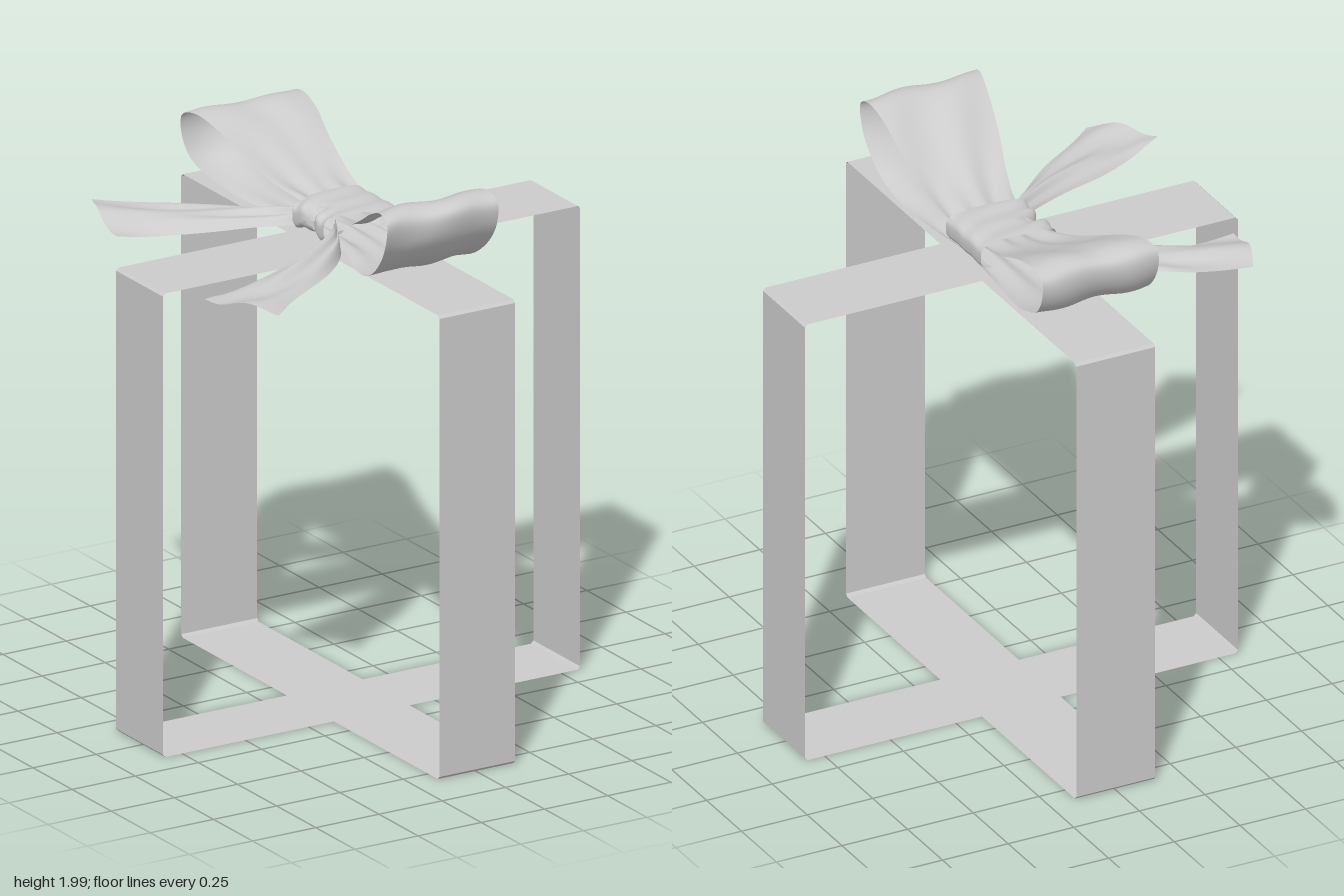
import * as THREE from 'three';

const smooth = new THREE.MeshStandardMaterial({ color: 0xcccccc, side: THREE.DoubleSide });
const flat = new THREE.MeshStandardMaterial({ color: 0xcccccc, side: THREE.DoubleSide, flatShading: true });

// Grid surface from a function (u, v) -> [x, y, z]
function sheet(name, nu, nv, fn, material = smooth) {
  const pos = [], idx = [];
  for (let i = 0; i <= nu; i++)
    for (let j = 0; j <= nv; j++) pos.push(...fn(i / nu, j / nv));
  for (let i = 0; i < nu; i++)
    for (let j = 0; j < nv; j++) {
      const a = i * (nv + 1) + j, b = a + nv + 1;
      idx.push(a, a + 1, b, b, a + 1, b + 1);
    }
  const g = new THREE.BufferGeometry();
  g.setAttribute('position', new THREE.Float32BufferAttribute(pos, 3));
  g.setIndex(idx);
  g.computeVertexNormals();
  const m = new THREE.Mesh(g, material);
  m.name = name;
  return m;
}

const spline = pts => new THREE.CatmullRomCurve3(pts.map(p => new THREE.Vector3(...p)), false, 'centripetal');

// Flat band wrapped round the box, with tiny chamfered corners
function strap(name, alongX) {
  const h = 1.66, r = 0.825, c = 0.01;
  const ring = [[-r, c], [-r, h - c], [-r + c, h], [r - c, h], [r, h - c], [r, c], [r - c, 0], [-r + c, 0], [-r, c]];
  return sheet(name, 8, 1, (u, v) => {
    const [s, y] = ring[Math.round(u * 8)];
    const w = -0.15 + 0.3 * v;
    return alongX ? [s, y, w - 0.005] : [w, y, s - 0.005];
  }, flat);
}

// Bow loop: both edges run along the same side profile, rows are [z, y, xLeft, xRight]
function bowLoop(name, rows) {
  const a = spline(rows.map(([z, y, l]) => [l, y, z]));
  const b = spline(rows.map(([z, y, , r]) => [r, y, z]));
  return sheet(name, 64, 24, (u, v) => {
    const p = a.getPoint(u).lerp(b.getPoint(u), v);
    // gathers near the knot, soft waves further out
    const pinch = Math.pow(Math.abs(2 * u - 1), 4);
    p.y += 0.012 * pinch * Math.sin(v * 19) + 0.004 * Math.sin(v * 11 + u * 14) - 0.004;
    p.z += 0.008 * (1 - pinch) * Math.sin(v * 9 + u * 5);
    return p.toArray();
  });
}

// Loose tail between two edge paths, arched near the knot and rippled at the cut end
function tail(name, edgeA, edgeB, phase) {
  const a = spline(edgeA), b = spline(edgeB);
  return sheet(name, 48, 20, (u, v) => {
    const p = a.getPoint(u).lerp(b.getPoint(u), v);
    p.y += 0.05 * Math.sin(Math.PI * v) * (1 - 0.75 * u)
      + 0.010 * u * Math.sin(v * 8 + u * 9 + phase)
      + 0.010 * (1 - u) * Math.sin(v * 17);
    p.x -= 0.02 * Math.pow(u, 8) * Math.sin(v * Math.PI);
    return p.toArray();
  });
}

export function createModel() {
  const model = new THREE.Group();
  model.add(strap('sideStrap', true), strap('frontStrap', false));

  const bow = new THREE.Group();
  bow.name = 'bow';
  bow.add(bowLoop('frontLoop', [
    [0, 1.765, -0.11, 0.13], [0.12, 1.78, -0.12, 0.14], [0.25, 1.815, -0.16, 0.15], [0.4, 1.89, -0.21, 0.165],
    [0.53, 1.965, -0.24, 0.17], [0.62, 1.99, -0.26, 0.175], [0.675, 1.965, -0.27, 0.175], [0.67, 1.89, -0.27, 0.175],
    [0.62, 1.81, -0.26, 0.175], [0.52, 1.735, -0.24, 0.17], [0.38, 1.70, -0.2, 0.16], [0.2, 1.70, -0.14, 0.15],
    [0, 1.70, -0.11, 0.13]]));
  bow.add(bowLoop('backLoop', [
    [0, 1.765, -0.11, 0.13], [-0.15, 1.78, -0.12, 0.13], [-0.25, 1.805, -0.145, 0.145], [-0.4, 1.87, -0.175, 0.17],
    [-0.53, 1.93, -0.2, 0.2], [-0.63, 1.955, -0.22, 0.21], [-0.69, 1.935, -0.235, 0.21], [-0.695, 1.87, -0.235, 0.21],
    [-0.65, 1.79, -0.225, 0.205], [-0.53, 1.74, -0.2, 0.195], [-0.38, 1.71, -0.17, 0.165], [-0.2, 1.70, -0.13, 0.14],
    [0, 1.70, -0.11, 0.13]]));

  bow.add(tail('frontTail',
    [[-0.08, 1.71, 0.03], [-0.14, 1.71, 0.09], [-0.37, 1.70, 0.21], [-0.55, 1.69, 0.28], [-0.7, 1.69, 0.34], [-0.81, 1.71, 0.39]],
    [[-0.08, 1.69, 0.06], [-0.15, 1.69, 0.19], [-0.24, 1.69, 0.29], [-0.37, 1.69, 0.4], [-0.55, 1.69, 0.52], [-0.65, 1.70, 0.6]], 0));
  bow.add(tail('backTail',
    [[-0.08, 1.69, -0.06], [-0.13, 1.69, -0.19], [-0.17, 1.69, -0.3], [-0.33, 1.70, -0.43], [-0.46, 1.71, -0.52], [-0.64, 1.74, -0.61]],
    [[-0.08, 1.71, -0.03], [-0.14, 1.71, -0.09], [-0.22, 1.70, -0.14], [-0.37, 1.69, -0.21], [-0.55, 1.69, -0.29], [-0.72, 1.70, -0.32]], 2));

  // Knot band wrapped round the middle, creased toward its right side
  bow.add(sheet('knot', 64, 20, (u, v) => {
    const t = u * Math.PI * 2, c = Math.cos(t), s = Math.sin(t);
    const sq = k => Math.sign(k) * Math.pow(Math.abs(k), 0.55);
    const crease = Math.max(0, -c);
    const x = -0.005 + 0.15 * sq(c);
    const w = v - 0.5;
    const y = 1.735 + 0.052 * sq(s)
      + 0.006 * Math.sin(v * 16 + c * 3) * (0.4 + crease)
      - 0.025 * crease * Math.exp(-60 * w * w) * Math.sign(s);
    return [x + 0.03 * crease * Math.exp(-60 * w * w), y, -0.012 + w * (0.25 - 0.05 * crease)];
  }));

  // Small tucked end under the knot
  const tuck = new THREE.Mesh(new THREE.BoxGeometry(0.08, 0.04, 0.03), smooth);
  tuck.name = 'knotTuck';
  tuck.position.set(-0.03, 1.675, 0);
  bow.add(tuck);

  model.add(bow);
  return model;
}
